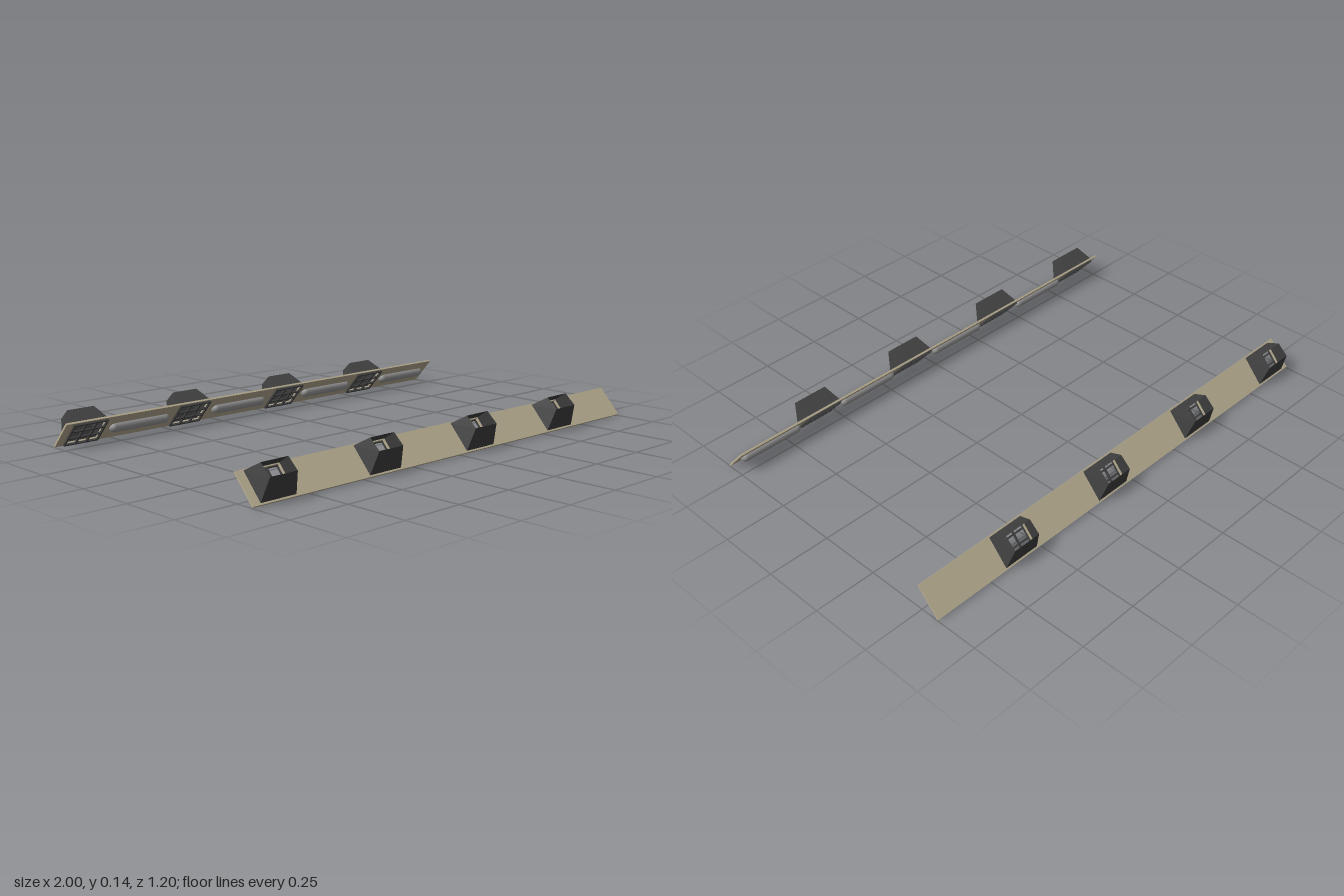
import * as THREE from 'three';

const TILT = THREE.MathUtils.degToRad(42);
const HALF = 0.0675, THICK = 0.008;           // strip half width and thickness
const VENTS = [-0.89, -0.397, 0.11, 0.597];   // housing centres along x
const LAMPS = [-0.644, -0.144, 0.353, 0.837]; // lamp centres along x

const panelMat = new THREE.MeshStandardMaterial({ color: 0xb8ad92 });
const darkMat = new THREE.MeshStandardMaterial({ color: 0x404040, flatShading: true, side: THREE.DoubleSide });
const lampMat = new THREE.MeshStandardMaterial({ color: 0x999999 });

function add(parent, name, geometry, material, x = 0, y = 0, z = 0) {
  const mesh = new THREE.Mesh(geometry, material);
  mesh.name = name;
  mesh.position.set(x, y, z);
  parent.add(mesh);
  return mesh;
}

function rectangle(path, x, y, hw, hh) {
  path.moveTo(x - hw, y - hh).lineTo(x + hw, y - hh);
  path.lineTo(x + hw, y + hh).lineTo(x - hw, y + hh).closePath();
  return path;
}

// Long panel with a rectangular opening under every housing
function panelGeometry(dir) {
  const shape = rectangle(new THREE.Shape(), 0, 0, 1, HALF);
  for (const x of VENTS) shape.holes.push(rectangle(new THREE.Path(), x * dir, 0, 0.072, 0.058));
  return new THREE.ExtrudeGeometry(shape, { depth: THICK, bevelEnabled: false }).translate(0, 0, -THICK / 2);
}

// Tapered sleeve, open at its outer end
function housingGeometry() {
  const base = [[-0.0775, -0.063, 0], [0.0775, -0.063, 0], [0.0775, 0.063, 0], [-0.0775, 0.063, 0]];
  const rim = [[-0.059, -0.014, 0.082], [0.059, -0.014, 0.082], [0.059, 0.046, 0.076], [-0.059, 0.046, 0.076]];
  const positions = [];
  for (let i = 0; i < 4; i++) {
    const j = (i + 1) % 4;
    positions.push(...base[i], ...base[j], ...rim[j], ...base[i], ...rim[j], ...rim[i]);
  }
  const geometry = new THREE.BufferGeometry();
  geometry.setAttribute('position', new THREE.Float32BufferAttribute(positions, 3));
  geometry.computeVertexNormals();
  return geometry;
}

// Half capsule lying along x, flat against the panel
function lampGeometry() {
  const geometry = new THREE.CapsuleGeometry(0.022, 0.236, 8, 20).rotateZ(Math.PI / 2);
  const p = geometry.attributes.position;
  for (let i = 0; i < p.count; i++) p.setZ(i, Math.min(p.getZ(i), 0));
  return geometry;
}

function vent(x) {
  const group = new THREE.Group();
  group.name = 'vent';
  group.position.x = x;
  add(group, 'housing', housingGeometry(), darkMat);
  // Grille of crossing bars on the inner side
  const lengthwise = new THREE.BoxGeometry(0.152, 0.006, 0.008);
  const crosswise = new THREE.BoxGeometry(0.006, 0.124, 0.008);
  for (let i = 0; i < 4; i++) {
    const t = i / 3 - 0.5;
    add(group, 'grilleBar', lengthwise, darkMat, 0, t * 0.118, -0.008);
    add(group, 'grilleBar', crosswise, darkMat, t * 0.146, 0, -0.008);
  }
  return group;
}

// One tilted strip; dir mirrors the layout for the strip that is turned round
function strip(name, dir) {
  const group = new THREE.Group();
  group.name = name;
  const tilted = new THREE.Group();
  tilted.name = 'tiltedStrip';
  tilted.position.set(0, 0.055, 0.532);
  tilted.rotation.x = -TILT;
  add(tilted, 'panel', panelGeometry(dir), panelMat);
  for (const x of VENTS) tilted.add(vent(x * dir));
  for (const x of LAMPS) add(tilted, 'lamp', lampGeometry(), lampMat, x * dir, 0, -THICK / 2);
  group.add(tilted);
  if (dir < 0) group.rotation.y = Math.PI;
  return group;
}

export function createModel() {
  const model = new THREE.Group();
  model.name = 'lightStrips';
  model.add(strip('frontStrip', 1), strip('backStrip', -1));
  return model;
}
